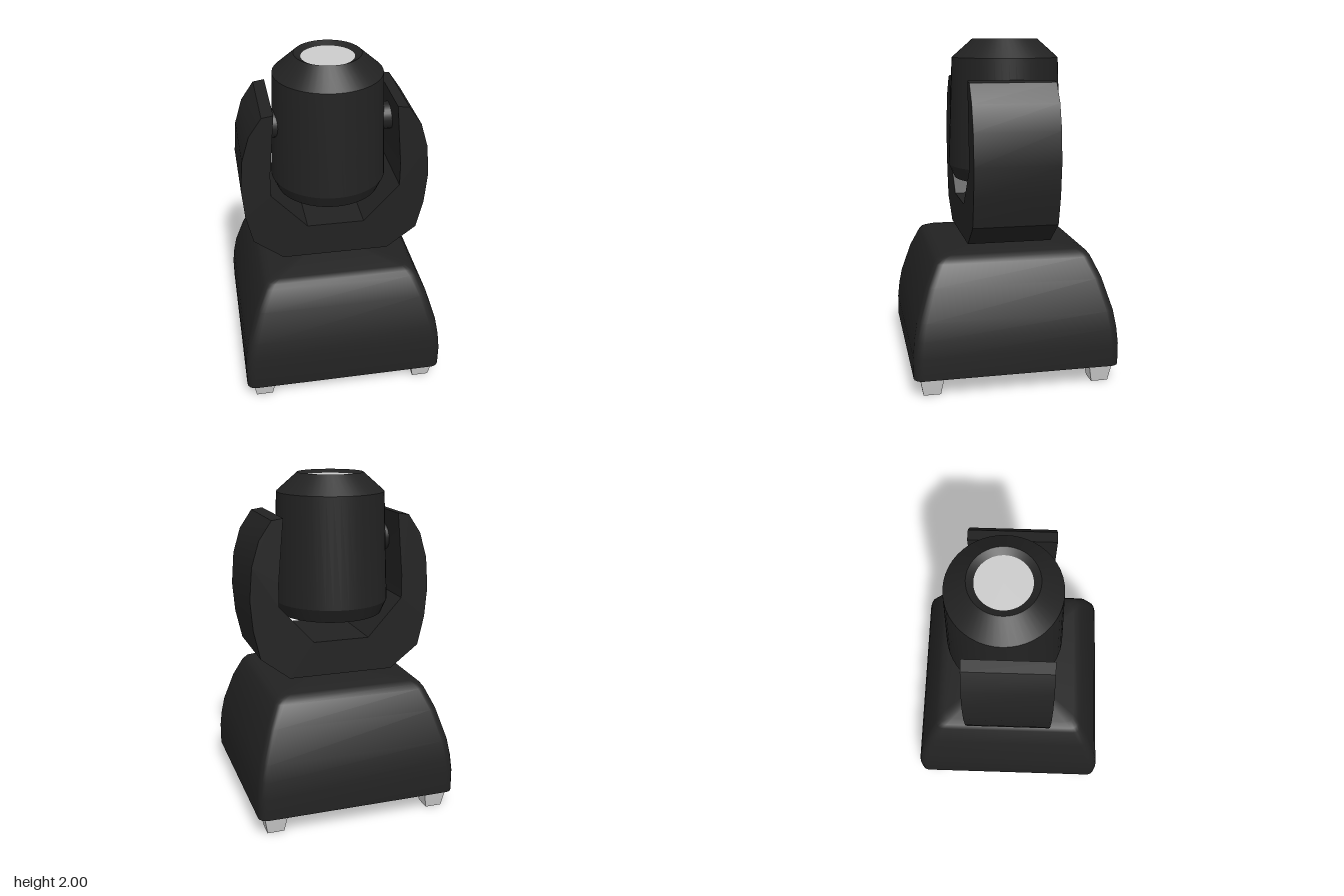
import * as THREE from 'three';
import { toCreasedNormals } from 'three/addons/utils/BufferGeometryUtils.js';

const dark = new THREE.MeshStandardMaterial({ color: 0x222222 });
const grey = new THREE.MeshStandardMaterial({ color: 0xcccccc });
const greyFlat = new THREE.MeshStandardMaterial({ color: 0xcccccc, flatShading: true });
const HEAD_Z = -0.035;

function add(parent, name, geometry, material, x = 0, y = 0, z = 0) {
  const mesh = new THREE.Mesh(geometry, material);
  mesh.name = name;
  mesh.position.set(x, y, z);
  parent.add(mesh);
  return mesh;
}

// Rounded-square sections [half width, height] joined into a closed, domed box
function loftGeometry(sections, radius, steps) {
  const positions = [], index = [];
  const n = 4 * (steps + 1);
  for (const [half, y] of sections) {
    for (let c = 0; c < 4; c++) {
      const mid = (c + 0.5) * Math.PI / 2;
      const cx = Math.sign(Math.cos(mid)) * (half - radius);
      const cz = Math.sign(Math.sin(mid)) * (half - radius);
      for (let s = 0; s <= steps; s++) {
        const a = (c + s / steps) * Math.PI / 2;
        positions.push(cx + radius * Math.cos(a), y, cz + radius * Math.sin(a));
      }
    }
  }
  for (let r = 0; r < sections.length - 1; r++) {
    for (let i = 0; i < n; i++) {
      const a = r * n + i, b = r * n + (i + 1) % n;
      index.push(a, a + n, b, b, a + n, b + n);
    }
  }
  // Bottom and top caps
  const last = (sections.length - 1) * n;
  const bottom = positions.length / 3, top = bottom + 1;
  positions.push(0, sections[0][1], 0, 0, sections.at(-1)[1], 0);
  for (let i = 0; i < n; i++) {
    const j = (i + 1) % n;
    index.push(bottom, i, j, top, last + j, last + i);
  }
  const g = new THREE.BufferGeometry();
  g.setAttribute('position', new THREE.Float32BufferAttribute(positions, 3));
  g.setIndex(index);
  return toCreasedNormals(g, 0.7);
}

export function createModel() {
  const model = new THREE.Group();
  model.name = 'movingHeadLight';

  // Base housing with curved shoulders
  const baseSections = [
    [0.605, 0.11], [0.605, 0.24], [0.595, 0.34], [0.577, 0.44], [0.52, 0.625],
    [0.465, 0.745], [0.445, 0.77], [0.41, 0.785],
  ];
  add(model, 'base', loftGeometry(baseSections, 0.05, 4), dark);

  // Four tapered square feet
  for (const x of [-0.5, 0.5]) {
    for (const z of [-0.5, 0.5]) {
      const foot = new THREE.CylinderGeometry(0.07 * Math.SQRT2, 0.05 * Math.SQRT2, 0.11, 4);
      foot.rotateY(Math.PI / 4);
      add(model, 'foot', foot, greyFlat, x, 0.055, z);
    }
  }

  // Pan bearing between base and yoke
  add(model, 'neck', new THREE.CylinderGeometry(0.125, 0.125, 0.06, 32), grey, 0, 0.8, 0);

  // Yoke: half outline mirrored, then extruded front to back
  const half = [
    [0.32, 0.82], [0.495, 0.955], [0.535, 1.13], [0.55, 1.31], [0.535, 1.5], [0.49, 1.65],
    [0.415, 1.76], [0.348, 1.77], [0.38, 1.4], [0.38, 1.26], [0.17, 1.03],
  ];
  const mirrored = half.map(([x, y]) => [-x, y]).reverse();
  const outline = [...half, ...mirrored].map(([x, y]) => new THREE.Vector2(x, y));
  const yoke = new THREE.ExtrudeGeometry(new THREE.Shape(outline), { depth: 0.5, bevelEnabled: false });
  yoke.translate(0, 0, -0.25);
  add(model, 'yoke', toCreasedNormals(yoke, 0.4), dark);

  // Tilt pivots joining the arms to the head
  for (const side of [-1, 1]) {
    const pivot = new THREE.CylinderGeometry(0.082, 0.082, 0.1, 24);
    pivot.rotateZ(Math.PI / 2);
    add(model, side > 0 ? 'leftPivot' : 'rightPivot', pivot, dark, side * 0.345, 1.6, 0);
  }

  // Lamp head: tapered shell with recessed ends
  const head = new THREE.Group();
  head.name = 'head';
  head.position.z = HEAD_Z;
  model.add(head);
  const profile = [
    [0.275, 1.2], [0.285, 1.165], [0.31, 1.165], [0.345, 1.245], [0.32, 1.89],
    [0.195, 2], [0.155, 1.98],
  ].map(([r, y]) => new THREE.Vector2(r, y));
  add(head, 'headShell', toCreasedNormals(new THREE.LatheGeometry(profile, 48), 0.3), dark);

  // Front lens and rear cover discs
  const lens = new THREE.CircleGeometry(0.155, 48).rotateX(-Math.PI / 2);
  add(head, 'lens', lens, grey, 0, 1.98, 0);
  const cover = new THREE.CircleGeometry(0.275, 48).rotateX(Math.PI / 2);
  add(head, 'rearCover', cover, grey, 0, 1.2, 0);

  return model;
}
